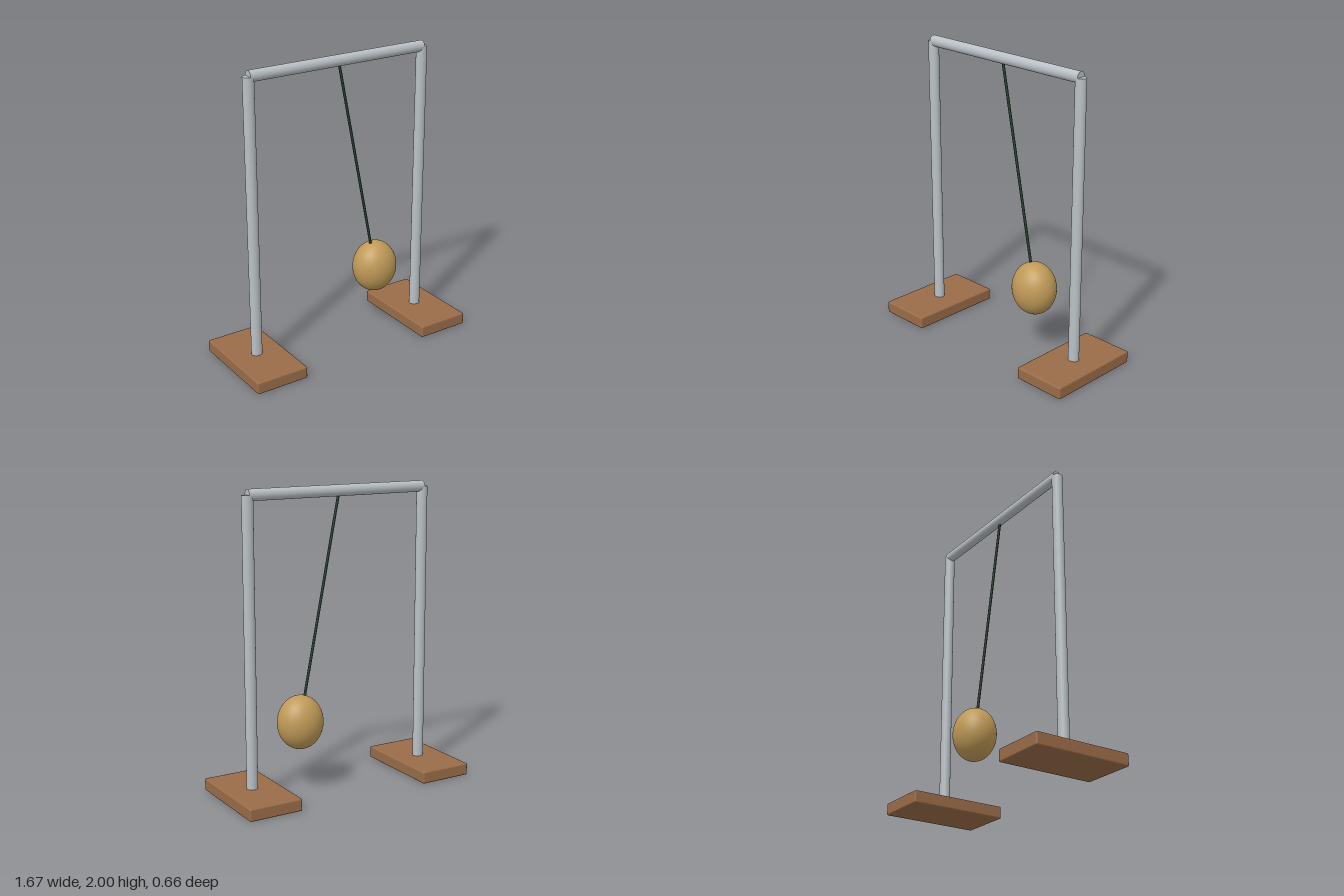
import * as THREE from 'three';
import { RoundedBoxGeometry } from 'three/addons/geometries/RoundedBoxGeometry.js';

const material = (name, color) => {
  const m = new THREE.MeshStandardMaterial({ color });
  m.name = name;
  return m;
};

export function createModel() {
  const steel = material('steel grey', 0xb9c0c5);
  const wood = material('brown wood', 0x9a6c48);
  const straw = material('straw', 0xc09a57);
  const cord = material('dark cord', 0x25372f);

  const model = new THREE.Group();
  model.name = 'pendulumFrame';
  const add = (name, geometry, mat, x, y, z = 0) => {
    const mesh = new THREE.Mesh(geometry, mat);
    mesh.name = name;
    mesh.position.set(x, y, z);
    model.add(mesh);
    return mesh;
  };

  const postX = 0.65, beamY = 1.962, tubeR = 0.0375;
  const depth = 0.9; // tubes and ball are slightly flattened front to back

  // Posts on wooden feet, one per side
  for (const [side, s] of [['left', 1], ['right', -1]]) {
    add(side + 'Foot', new RoundedBoxGeometry(0.368, 0.082, 0.664, 2, 0.01), wood, s * postX, 0.043);
    const height = beamY - 0.04;
    const post = new THREE.CylinderGeometry(tubeR, tubeR, height, 32);
    post.scale(1, 1, depth);
    add(side + 'Post', post, steel, s * postX, 0.04 + height / 2);
  }

  // Crossbar resting in the tops of the posts
  const beam = new THREE.CylinderGeometry(tubeR, tubeR, postX * 2, 32);
  beam.rotateZ(Math.PI / 2);
  beam.scale(1, 1, depth);
  add('crossbar', beam, steel, 0, beamY);

  // Hanging ball, swung to one side
  const ballPos = new THREE.Vector3(0.293, 0.472, 0);
  const ball = new THREE.SphereGeometry(1, 48, 32);
  ball.scale(0.156, 0.18, 0.14);
  add('ball', ball, straw, ballPos.x, ballPos.y);

  // Cord from the crossbar into the ball
  const top = new THREE.Vector3(0, 1.945, 0);
  const swing = ballPos.clone().sub(top);
  const rope = add('rope', new THREE.CylinderGeometry(0.009, 0.009, swing.length(), 16), cord,
    (top.x + ballPos.x) / 2, (top.y + ballPos.y) / 2);
  rope.quaternion.setFromUnitVectors(new THREE.Vector3(0, -1, 0), swing.normalize());

  return model;
}
